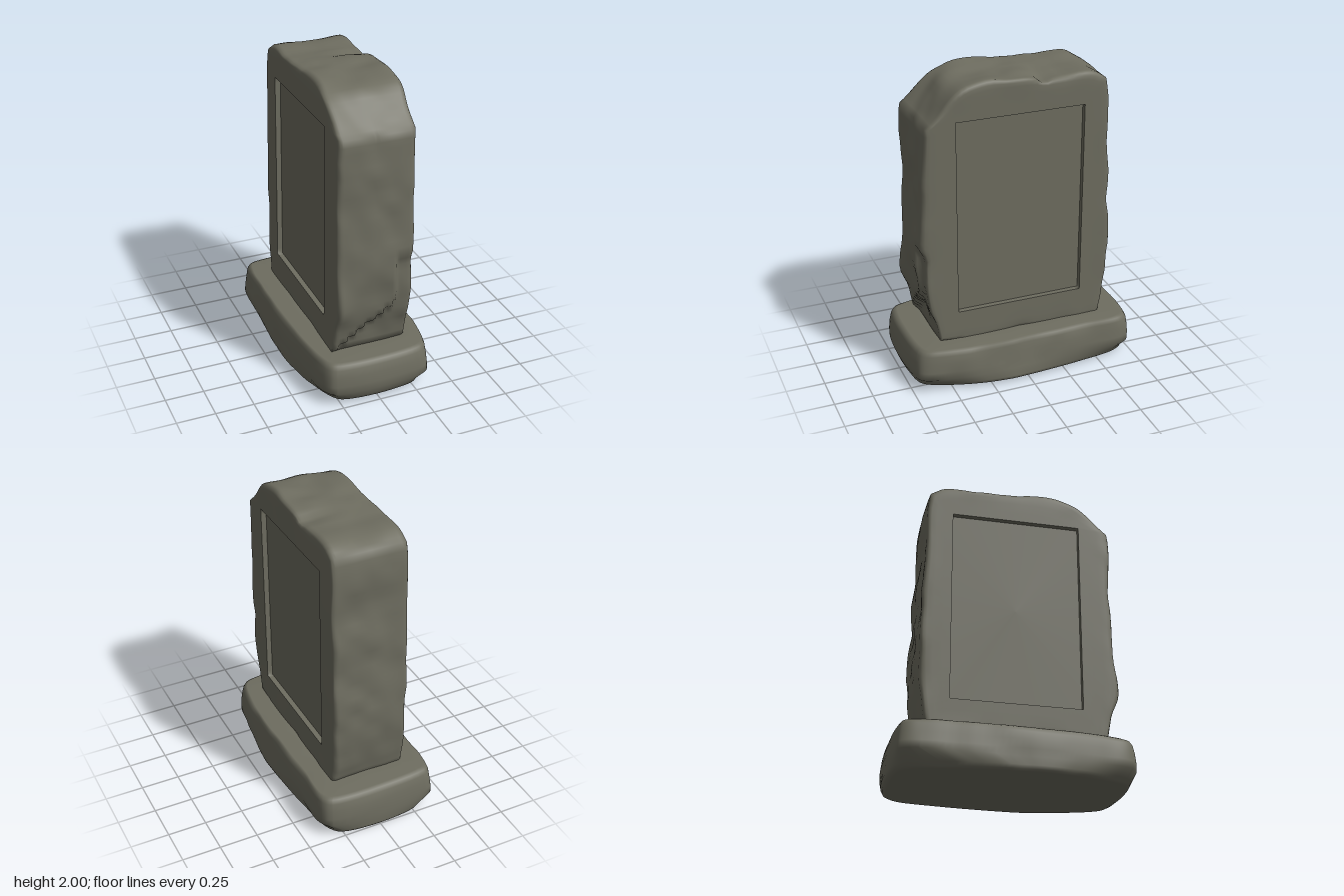
import * as THREE from 'three';

const { lerp, smoothstep } = THREE.MathUtils;

// smooth seeded value noise in -1..1
function hash(x, y, z) {
  const h = Math.sin(x * 127.1 + y * 311.7 + z * 74.7) * 43758.5453;
  return (h - Math.floor(h)) * 2 - 1;
}
function noise(x, y, z) {
  const i = [x, y, z].map(Math.floor);
  const f = [x - i[0], y - i[1], z - i[2]].map((t) => t * t * (3 - 2 * t));
  const row = (b, c) => lerp(hash(i[0], i[1] + b, i[2] + c), hash(i[0] + 1, i[1] + b, i[2] + c), f[0]);
  return lerp(lerp(row(0, 0), row(1, 0), f[1]), lerp(row(0, 1), row(1, 1), f[1]), f[2]);
}
const rough = (x, y, z) => 0.65 * noise(x * 4, y * 4.5, z * 4.5) + 0.35 * noise(x * 9 + 5, y * 10, z * 10);

// skin over a series of closed rings with equal point counts
function loft(rings) {
  const n = rings[0].length, pos = [], idx = [];
  rings.forEach((r) => r.forEach((p) => pos.push(p.x, p.y, p.z)));
  for (let i = 0; i < rings.length - 1; i++) {
    for (let j = 0; j < n; j++) {
      const k = (j + 1) % n, a = i * n + j, b = i * n + k, c = b + n, d = a + n;
      idx.push(a, b, c, a, c, d);
    }
  }
  const g = new THREE.BufferGeometry();
  g.setAttribute('position', new THREE.Float32BufferAttribute(pos, 3));
  g.setIndex(idx);
  g.computeVertexNormals();
  return g;
}

// loop of [z, y] points made of four sides, each sampled evenly
const PER_SIDE = 32;
function sidedLoop(sides) {
  return sides.flatMap((pts) => {
    const curve = new THREE.CatmullRomCurve3(pts.map(([z, y]) => new THREE.Vector3(0, y, z)), false, 'centripetal');
    return curve.getSpacedPoints(PER_SIDE).slice(0, -1);
  });
}

// stone silhouette: front, top, back, bottom
const outline = sidedLoop([
  [[0.57, 0.27], [0.6, 0.42], [0.645, 0.6], [0.645, 0.9], [0.63, 1.2], [0.625, 1.5], [0.615, 1.75]],
  [[0.615, 1.75], [0.5, 1.86], [0.4, 1.945], [0.28, 1.98], [0, 1.99], [-0.2, 1.975], [-0.46, 1.965], [-0.56, 1.92]],
  [[-0.56, 1.92], [-0.585, 1.8], [-0.575, 1.5], [-0.595, 1.2], [-0.6, 0.9], [-0.585, 0.5], [-0.55, 0.27]],
  [[-0.55, 0.27], [0.57, 0.27]],
]);
const F = 0.42, B = -0.41, LOW = 0.49, HIGH = 1.77;
const hole = sidedLoop([
  [[F, LOW], [F, HIGH]], [[F, HIGH], [B, HIGH]], [[B, HIGH], [B, LOW]], [[B, LOW], [F, LOW]],
]);

// s: -1..1 across the thickness, t: 0 at the panel opening, 1 at the silhouette
function stoneRing(s, t) {
  return hole.map((h, j) => {
    const p = h.clone().lerp(outline[j], t);
    const wear = t ** 5;
    p.x = s * 0.25 + 0.006 + 0.008 * (p.y - 1);
    const { x, y, z } = p;
    const r = rough(x, y, z);
    const dir = new THREE.Vector3(0, (y - 1.1) * 0.6, z).normalize();
    let push = 0.024 * r * wear;
    // broken ledge low on the front
    if (z > 0.4) {
      const edge = y > 0.6 ? 0.14 : 0.14 - (0.6 - y) * 1.2;
      push -= 0.035 * wear * smoothstep(x, edge - 0.015, edge + 0.02) * (1 - smoothstep(y, 0.88, 0.96));
    }
    // crack over the top edge
    if (y > 1.8) push -= 0.028 * wear * Math.exp(-(((z + 0.15) / 0.04) ** 2)) * smoothstep(x, -0.05, 0.2);
    p.addScaledVector(dir, push);
    p.x += Math.sign(s) * 0.014 * wear * rough(x + 7, y, z);
    return p;
  });
}

// base outlines, [x, z]
const middle = [
  [0.33, -0.735], [0.385, -0.68], [0.395, -0.4], [0.405, 0], [0.415, 0.25], [0.39, 0.5], [0.345, 0.69], [0.28, 0.73],
  [-0.28, 0.73], [-0.33, 0.69], [-0.375, 0.5], [-0.405, 0.2], [-0.415, -0.2], [-0.41, -0.6], [-0.38, -0.71], [-0.33, -0.735],
];
const foot = [
  [0.26, -0.73], [0.33, -0.66], [0.38, -0.4], [0.415, 0], [0.415, 0.22], [0.37, 0.45], [0.29, 0.67], [0.23, 0.71],
  [-0.23, 0.71], [-0.28, 0.67], [-0.36, 0.45], [-0.41, 0.2], [-0.415, -0.1], [-0.38, -0.45], [-0.33, -0.66], [-0.26, -0.73],
];
function baseRing(points, y, sx, sz, wear) {
  const curve = new THREE.CatmullRomCurve3(points.map(([x, z]) => new THREE.Vector3(x * sx, y, z * sz)), true, 'centripetal');
  return curve.getPoints(160).slice(0, -1).map((p) => {
    const r = rough(p.x + 3, y, p.z) * wear;
    p.x += Math.sign(p.x) * 0.016 * r;
    p.z *= 1 + 0.012 * r;
    p.y += y < 0.1 ? 0.012 * p.z : 0.004 * r;
    return p;
  });
}

export function createModel() {
  const group = new THREE.Group();
  const stone = new THREE.MeshStandardMaterial({ color: 0x6e6d60 });
  stone.name = 'grey stone';
  const add = (name, rings) => {
    const mesh = new THREE.Mesh(loft(rings), stone);
    mesh.name = name;
    group.add(mesh);
  };

  // rough standing stone, face border to face border
  const border = [[1, 0], [1, 0.3], [1, 0.6], [1, 0.8], [0.99, 0.9], [0.965, 0.965]];
  const rings = border.map(([s, t]) => stoneRing(s, t));
  for (let i = 0; i <= 30; i++) rings.push(stoneRing(0.9 * (1 - i / 15), 1));
  border.reverse().forEach(([s, t]) => rings.push(stoneRing(-s, t)));
  add('standingStone', rings);

  // sunken panels on both broad faces
  for (const s of [1, -1]) {
    const rim = stoneRing(s, 0);
    const floor = rim.map((p) => p.clone().add(new THREE.Vector3(-s * 0.035, 0, 0)));
    const centre = new THREE.Vector3(s * 0.215 + 0.007, (LOW + HIGH) / 2, (F + B) / 2);
    const middleRing = floor.map(() => centre.clone());
    const side = s > 0 ? 'left' : 'right';
    add(side + 'PanelRim', s > 0 ? [floor, rim] : [rim, floor]);
    add(side + 'Panel', s > 0 ? [middleRing, floor] : [floor, middleRing]);
  }

  // rough base slab
  add('baseSlab', [
    baseRing(middle, 0.297, 0.001, 0.001, 0),
    baseRing(middle, 0.297, 0.6, 0.7, 0),
    baseRing(middle, 0.296, 0.91, 0.925, 0.5),
    baseRing(middle, 0.285, 0.945, 0.955, 0.8),
    baseRing(middle, 0.26, 0.965, 0.975, 1),
    baseRing(middle, 0.21, 0.985, 0.99, 1),
    baseRing(middle, 0.15, 1, 1, 1),
    baseRing(middle, 0.1, 1.01, 1, 1),
    baseRing(foot, 0.045, 1.01, 1.005, 0.8),
    baseRing(foot, 0.022, 0.99, 0.99, 0.5),
    baseRing(foot, 0.012, 0.95, 0.96, 0),
    baseRing(foot, 0.012, 0.001, 0.001, 0),
  ]);
  return group;
}
